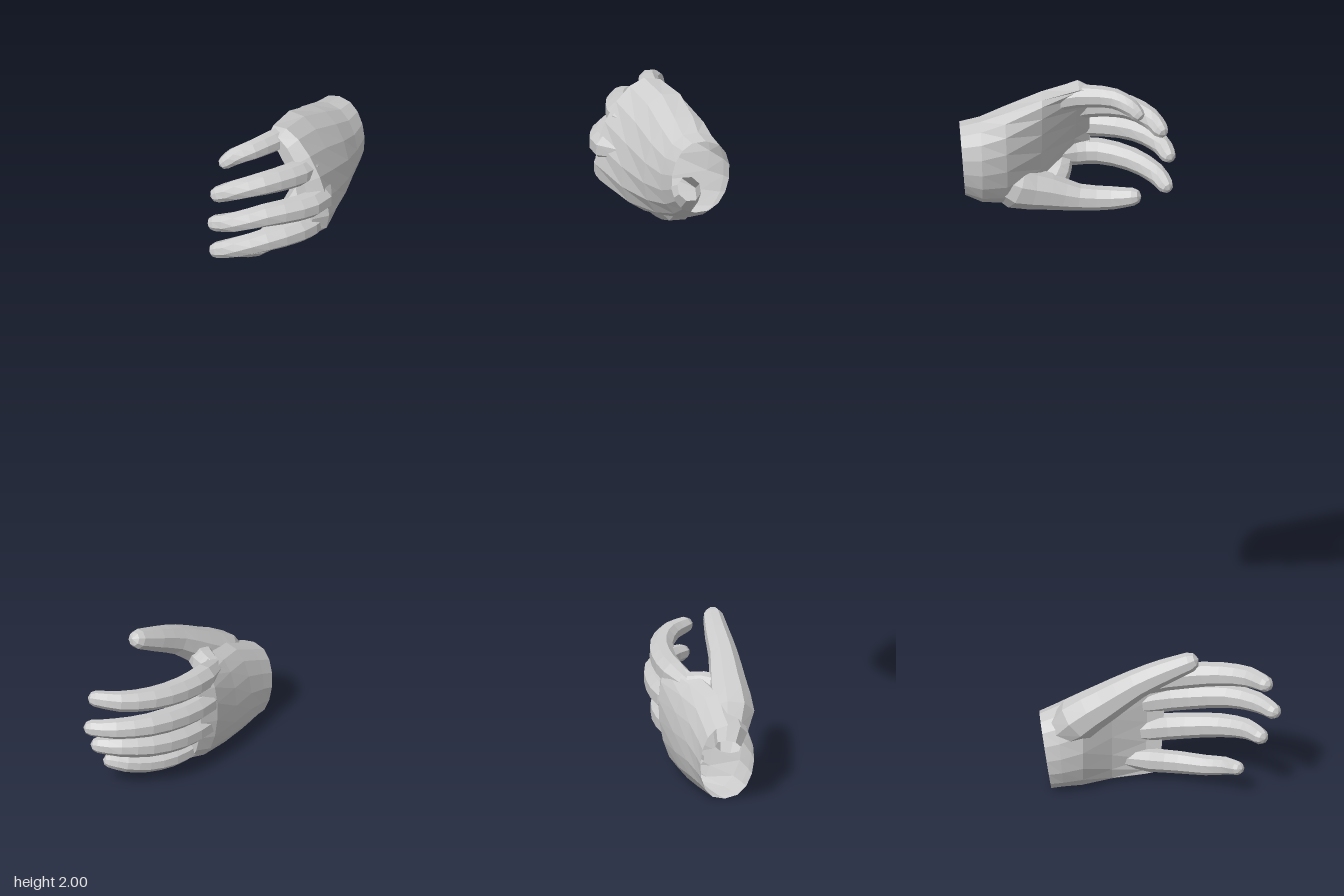
import * as THREE from 'three';

const V = (p) => new THREE.Vector3(...p);
const skin = new THREE.MeshStandardMaterial({ color: 0xcccccc, flatShading: true, side: THREE.DoubleSide });

// Skins a list of equal rings, open at the start and closed at the end by a tip point
function loft(name, rings, tip) {
  const n = rings[0].length, index = [];
  for (let r = 0; r < rings.length - 1; r++) {
    for (let i = 0; i < n; i++) {
      const a = r * n + i, a1 = r * n + (i + 1) % n;
      index.push(a, a1, a1 + n, a, a1 + n, a + n);
    }
  }
  const last = (rings.length - 1) * n;
  for (let i = 0; i < n; i++) index.push(last + i, last + (i + 1) % n, last + n);
  const geo = new THREE.BufferGeometry().setFromPoints([...rings.flat(), tip]);
  geo.setIndex(index);
  geo.computeVertexNormals();
  const mesh = new THREE.Mesh(geo, skin);
  mesh.name = name;
  return mesh;
}

// Finger or thumb: a tapering tube along points [x, y, z], with a rounded tip
function finger(name, path, radii, steps = 10, sides = 8) {
  const curve = new THREE.CatmullRomCurve3(path.map(V));
  const rings = [];
  const ring = (c, t, r) => {
    const u = new THREE.Vector3().crossVectors(t, new THREE.Vector3(0, 0, 1)).normalize();
    const v = new THREE.Vector3().crossVectors(t, u);
    rings.push(Array.from({ length: sides }, (_, i) => {
      const a = (i + 0.5) / sides * Math.PI * 2;
      return c.clone().addScaledVector(u, r * Math.cos(a)).addScaledVector(v, r * Math.sin(a));
    }));
  };
  for (let s = 0; s <= steps; s++) {
    const k = s / steps, f = k * (radii.length - 1), j = Math.min(Math.floor(f), radii.length - 2);
    ring(curve.getPoint(k), curve.getTangent(k), THREE.MathUtils.lerp(radii[j], radii[j + 1], f - j));
  }
  const end = curve.getPoint(1), t = curve.getTangent(1), r = radii[radii.length - 1];
  ring(end.clone().addScaledVector(t, r * 0.6), t, r * 0.7);
  return loft(name, rings, end.clone().addScaledVector(t, r * 0.9));
}

// Palm: each section has a thumb edge, a little-finger edge, and bulges for back and palm
// (a negative palm bulge makes the palm hollow)
function palm(sections, sides = 16) {
  const rings = sections.map(([a, b, back, inner]) => {
    const A = V(a), B = V(b), mid = A.clone().add(B).multiplyScalar(0.5);
    const u = A.clone().sub(B).multiplyScalar(0.5);
    const v = new THREE.Vector3(-1, 0, 0).cross(u).normalize();
    return Array.from({ length: sides }, (_, i) => {
      const ang = i / sides * Math.PI * 2, s = Math.sin(ang);
      const bulge = Math.sign(s) * Math.abs(s) ** 0.8 * (s * v.z > 0 ? back : inner);
      return mid.clone().addScaledVector(u, Math.cos(ang)).addScaledVector(v, bulge);
    });
  });
  const end = rings[rings.length - 1];
  const tip = end.reduce((c, p) => c.add(p), new THREE.Vector3()).divideScalar(sides);
  return loft('palmAndWrist', rings, tip);
}

function hand(name, spec) {
  const g = new THREE.Group();
  g.name = name;
  g.add(palm(spec.palm));
  g.add(finger('thumb', spec.thumb, spec.thumbRadii));
  g.add(finger('thumbWeb', spec.web, [0.03, 0.036, 0.036], 4));
  // The first radius is buried in the palm, the second is the knuckle
  const radii = [0.02, 0.037, 0.035, 0.032, 0.028, 0.022];
  g.add(finger('indexFinger', spec.index, radii));
  g.add(finger('middleFinger', spec.middle, radii));
  g.add(finger('ringFinger', spec.ring, radii));
  g.add(finger('littleFinger', spec.little, radii.map((r) => r * 0.86)));
  return g;
}

// Raised hand, thumb down, fingers curled
const upper = {
  palm: [
    [[0.405, 1.71, 0.03], [0.42, 1.91, 0.005], 0.08, 0.08],
    [[0.36, 1.685, 0.035], [0.365, 1.92, 0.01], 0.09, 0.085],
    [[0.29, 1.665, 0.06], [0.3, 1.945, 0.005], 0.105, 0.07],
    [[0.2, 1.665, 0.11], [0.2, 1.98, 0.01], 0.105, 0.03],
    [[0.11, 1.705, 0.175], [0.1, 1.995, 0.035], 0.095, -0.012],
    [[0.065, 1.72, 0.17], [0.07, 1.985, 0.045], 0.065, -0.03],
  ],
  thumb: [[0.35, 1.76, 0.03], [0.27, 1.712, 0.045], [0.18, 1.687, 0.055], [0.1, 1.668, 0.055], [0.01, 1.666, 0.05], [-0.045, 1.677, 0.033]],
  thumbRadii: [0.035, 0.062, 0.05, 0.036, 0.031, 0.024],
  web: [[0.14, 1.735, 0.155], [0.155, 1.715, 0.11], [0.18, 1.69, 0.07]],
  index: [[0.2, 1.765, 0.11], [0.11, 1.748, 0.168], [0.04, 1.748, 0.167], [-0.045, 1.742, 0.125], [-0.105, 1.727, 0.07], [-0.13, 1.712, 0.025]],
  middle: [[0.2, 1.82, 0.11], [0.11, 1.82, 0.186], [0.03, 1.825, 0.176], [-0.055, 1.828, 0.13], [-0.115, 1.815, 0.075], [-0.137, 1.802, 0.025]],
  ring: [[0.2, 1.89, 0.09], [0.11, 1.897, 0.14], [0.04, 1.905, 0.135], [-0.035, 1.908, 0.105], [-0.09, 1.897, 0.058], [-0.117, 1.88, 0.018]],
  little: [[0.22, 1.93, 0.05], [0.14, 1.96, 0.062], [0.07, 1.968, 0.055], [0.005, 1.967, 0.038], [-0.035, 1.955, 0.01], [-0.055, 1.94, -0.006]],
};

// Lowered hand, thumb up, fingers nearly straight
const lower = {
  palm: [
    [[0.213, 0.22, -0.12], [0.182, 0.008, -0.12], 0.073, 0.077],
    [[0.17, 0.24, -0.12], [0.15, 0.01, -0.11], 0.07, 0.085],
    [[0.1, 0.275, -0.125], [0.1, 0.01, -0.105], 0.077, 0.08],
    [[0.02, 0.295, -0.105], [0.02, 0.013, -0.1], 0.077, 0.035],
    [[-0.08, 0.315, -0.065], [-0.07, 0.022, -0.095], 0.065, 0],
    [[-0.13, 0.315, -0.065], [-0.11, 0.03, -0.095], 0.045, -0.012],
  ],
  thumb: [[0.18, 0.15, -0.13], [0.115, 0.222, -0.16], [0.035, 0.28, -0.172], [-0.045, 0.336, -0.184], [-0.12, 0.374, -0.19], [-0.185, 0.404, -0.198]],
  thumbRadii: [0.035, 0.061, 0.051, 0.04, 0.034, 0.027],
  web: [[-0.02, 0.275, -0.075], [-0.005, 0.272, -0.115], [0.03, 0.265, -0.16]],
  index: [[0.02, 0.265, -0.09], [-0.08, 0.284, -0.06], [-0.18, 0.295, -0.06], [-0.275, 0.308, -0.082], [-0.35, 0.319, -0.128], [-0.387, 0.325, -0.182]],
  middle: [[0.02, 0.21, -0.08], [-0.09, 0.218, -0.046], [-0.19, 0.226, -0.047], [-0.295, 0.238, -0.073], [-0.37, 0.243, -0.126], [-0.408, 0.243, -0.18]],
  ring: [[0.02, 0.14, -0.08], [-0.08, 0.14, -0.058], [-0.18, 0.146, -0.06], [-0.275, 0.158, -0.087], [-0.34, 0.168, -0.132], [-0.374, 0.17, -0.183]],
  little: [[0.02, 0.075, -0.095], [-0.08, 0.062, -0.092], [-0.16, 0.058, -0.102], [-0.23, 0.062, -0.13], [-0.283, 0.074, -0.16], [-0.312, 0.083, -0.194]],
};

export function createModel() {
  const model = new THREE.Group();
  model.name = 'pairOfHands';
  model.add(hand('raisedHand', upper), hand('loweredHand', lower));
  return model;
}
